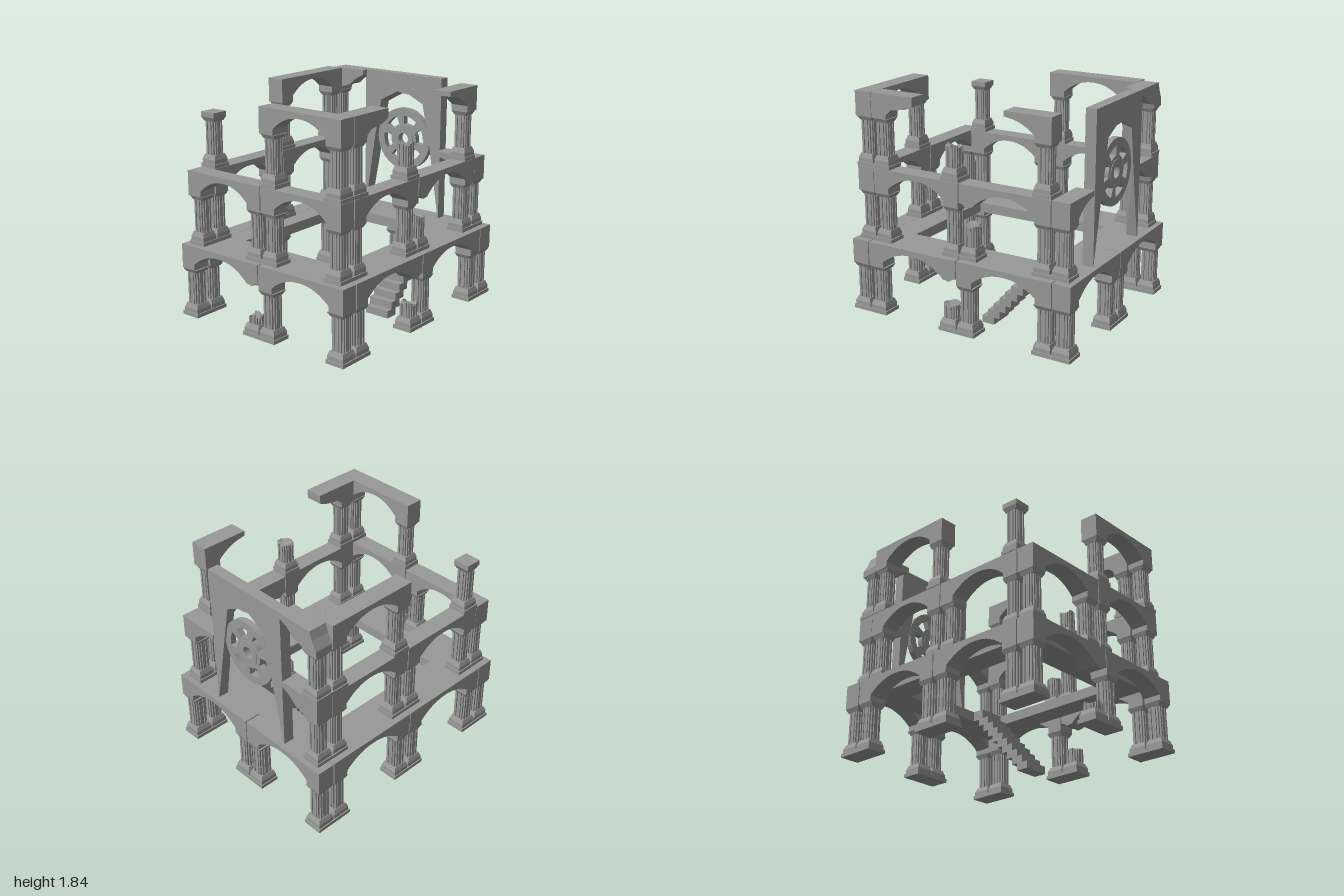
import * as THREE from 'three';

const stone = new THREE.MeshStandardMaterial({ color: 0x999999, flatShading: true });
const POST = 0.135, BEAM = 0.2, DEPTH = 0.15, COLUMN = 0.4;

function part(name, geometry, parent, x = 0, y = 0, z = 0) {
  const mesh = new THREE.Mesh(geometry, stone);
  mesh.name = name;
  mesh.position.set(x, y, z);
  parent.add(mesh);
  return mesh;
}

function shapeOf(points) {
  return new THREE.Shape(points.map(([x, y]) => new THREE.Vector2(x, y)));
}

function extrude(shape, depth, curveSegments = 12) {
  return new THREE.ExtrudeGeometry(shape, { depth, bevelEnabled: false, curveSegments });
}

// Square frustum standing on y = 0
function frustum(bottom, top, h) {
  const g = new THREE.CylinderGeometry(top * Math.SQRT1_2, bottom * Math.SQRT1_2, h, 4);
  return g.rotateY(Math.PI / 4).translate(0, h / 2, 0);
}

// Fluted square shaft; a broken one gets a ragged top
function shaft(half, h, broken) {
  const side = [[-0.75, -1], [-0.45, -1], [-0.45, -0.8], [-0.3, -0.8], [-0.3, -1], [0.3, -1],
    [0.3, -0.8], [0.45, -0.8], [0.45, -1], [0.75, -1], [0.75, -0.75]];
  const points = [];
  for (let k = 0; k < 4; k++) {
    const c = Math.round(Math.cos(k * Math.PI / 2)), s = Math.round(Math.sin(k * Math.PI / 2));
    for (const [x, y] of side) points.push([(x * c - y * s) * half, (x * s + y * c) * half]);
  }
  const g = extrude(shapeOf(points), h).rotateX(-Math.PI / 2);
  if (broken) {
    const p = g.attributes.position;
    for (let i = 0; i < p.count; i++) {
      if (p.getY(i) > h / 2) p.setY(i, p.getY(i) + 0.018 * Math.sin(p.getX(i) * 45 + p.getZ(i) * 30));
    }
    g.computeVertexNormals();
  }
  return g;
}

// Column with stepped base; stump = height of a broken shaft
function column(parent, x, y, z, { wide = 1, stump = 0, abacus = false } = {}) {
  const g = new THREE.Group();
  g.name = stump ? 'brokenColumn' : 'column';
  g.position.set(x, y, z);
  parent.add(g);
  part('basePlate', frustum(0.155 * wide, 0.155 * wide, 0.03), g);
  part('baseBlock', frustum(0.138 * wide, 0.138 * wide, 0.033), g, 0, 0.03);
  part('baseTaper', frustum(0.138 * wide, 0.112 * wide, 0.037), g, 0, 0.063);
  part('shaft', shaft(0.052 * wide, stump || 0.27, stump > 0), g, 0, 0.1);
  if (!stump) part('capital', frustum(0.105 * wide, 0.138 * wide, 0.033), g, 0, 0.367);
  if (abacus) part('abacus', frustum(0.138, 0.138, 0.04), g, 0, 0.4);
}

// Arched bay from its outer end u0 to u1 along x, or along z when alongZ.
// keep = length left of a broken beam, ragged = its rough underside,
// chip = broken outer corner, stump = broken inner column
function bay(parent, y, alongZ, u0, u1, cross, o = {}) {
  const L = Math.abs(u1 - u0), dir = Math.sign(u1 - u0), keep = o.keep || L;
  const g = new THREE.Group();
  g.name = o.keep ? 'brokenBay' : 'archBay';
  if (alongZ) { g.rotation.y = -Math.PI / 2; g.position.set(cross, y, 0); } else g.position.set(0, y, cross);
  parent.add(g);

  const inner = L - POST, pts = [[0, 0], [POST, 0]];
  if (o.ragged) pts.push(...o.ragged);
  else {
    for (let i = 0; i <= 14; i++) {
      const t = i / 7 - 1, s = L / 2 + t * (L / 2 - POST);
      if (s < keep) pts.push([s, 0.05 + 0.105 * (1 - Math.abs(t) ** 2.2)]);
    }
  }
  if (o.keep) pts.push([keep, 0.16]);
  else if (o.stump) pts.push([inner + 0.02, 0.03], [L - 0.06, 0.02], [L - 0.03, 0.045], [L, 0.05]);
  else pts.push([inner, 0], [L, 0]);
  pts.push([keep, BEAM]);
  if (o.chip) pts.push([0.065, BEAM], [0.04, 0.13], [0, 0.06]);
  else pts.push([0, BEAM]);
  const beam = extrude(shapeOf(pts.map(([s, h]) => [u0 + dir * s, h])), DEPTH);
  part('archBeam', beam.translate(0, 0, -DEPTH / 2), g, 0, COLUMN);

  const wide = o.wide || 1;
  column(g, u0 + dir * 0.075, 0, 0, { wide });
  if (!o.keep) column(g, u1 - dir * 0.075, 0, 0, { wide, stump: o.stump });
}

export function createModel() {
  const model = new THREE.Group();
  model.name = 'ruinedArcade';
  const storey = name => {
    const g = new THREE.Group();
    g.name = name;
    model.add(g);
    return g;
  };

  // Ground storey: two bays on every side
  const ground = storey('groundStorey'), wide = 1.07;
  for (const s of [1, -1]) {
    for (const t of [1, -1]) {
      bay(ground, 0.03, false, t * 0.823, t * 0.004, s * 0.913, { wide, stump: s > 0 && t < 0 ? 0.06 : 0 });
      bay(ground, 0.03, true, t * 0.83, t * 0.004, s * 0.748, { wide, stump: s > 0 && t > 0 ? 0.11 : 0 });
    }
  }

  // Floor with a central opening and a stair landing
  const floor = shapeOf([[-0.69, -0.85], [0.69, -0.85], [0.69, 0.85], [-0.69, 0.85]]);
  floor.holes.push(shapeOf([[-0.48, -0.61], [0.255, -0.61], [0.255, -0.51], [0.48, -0.51], [0.48, 0.61], [-0.48, 0.61]]));
  part('floorSlab', extrude(floor, 0.084).rotateX(Math.PI / 2), ground, 0, 0.629, 0);

  // Stairs
  for (let i = 0; i < 9; i++) {
    part('stairStep', new THREE.BoxGeometry(0.22, 0.062, 0.108), ground, 0.367, 0.031 + 0.061 * i, -0.072 - 0.0535 * i);
  }

  // Middle storey: back bays are broken off beside the panel
  const middle = storey('middleStorey'), y2 = 0.633;
  const rough = [[0.145, 0.035], [0.23, 0.06], [0.3, 0.12], [0.35, 0.145]];
  for (const t of [1, -1]) {
    bay(middle, y2, false, t * 0.768, t * 0.004, 0.87);
    bay(middle, y2, false, t * 0.768, t * 0.004, -0.87, { keep: 0.375, ragged: t < 0 ? rough : null });
    bay(middle, y2, true, t * 0.79, t * 0.004, -0.695);
    bay(middle, y2, true, t * 0.79, t * 0.004, 0.695, { stump: t < 0 ? 0.17 : 0 });
  }

  // Upper storey: scattered remains
  const upper = storey('upperStorey'), y3 = 1.236;
  bay(upper, y3, false, 0.768, 0.004, 0.87);
  bay(upper, y3, true, -0.79, -0.004, -0.695);
  bay(upper, y3, false, -0.768, -0.004, -0.87, { keep: 0.378, ragged: rough, chip: true });
  bay(upper, y3, true, 0.79, 0.004, 0.695,
    { keep: 0.385, ragged: [[0.14, 0.04], [0.19, 0.08], [0.32, 0.1], [0.383, 0.125]] });
  bay(upper, y3, true, -0.79, -0.004, 0.695, { keep: 0.39 });
  column(upper, -0.695, y3, 0.715, { abacus: true });
  column(upper, 0.695, y3, 0.08, { stump: 0.165 });

  // Back panel: the tapering pointed opening narrows toward the rear
  const panel = shapeOf([[-0.4, 0.63], [-0.39, 0.63], [-0.3, 1.24], [-0.235, 1.59], [-0.06, 1.68], [0, 1.67],
    [0.06, 1.665], [0.2, 1.6], [0.28, 1.24], [0.38, 0.63], [0.385, 0.63], [0.385, 1.836], [-0.4, 1.836]]);
  const panelGeometry = extrude(panel, 0.09);
  const corners = panelGeometry.attributes.position;
  for (let i = 0; i < corners.count; i++) {
    const x = corners.getX(i), y = corners.getY(i);
    if (corners.getZ(i) < 0.01 && y > 0.7 && y < 1.7) corners.setXY(i, x * 0.93, y - 0.02);
  }
  panelGeometry.computeVertexNormals();
  part('backPanel', panelGeometry, model, 0, 0, -0.945);

  // Round window wheel: slotted disc with a raised hub
  const wheel = new THREE.Group();
  wheel.name = 'wheelWindow';
  wheel.position.set(-0.005, 1.27, -0.9);
  model.add(wheel);
  const ring = (r, hole) => {
    const s = new THREE.Shape().absarc(0, 0, r, 0, Math.PI * 2);
    s.holes.push(new THREE.Path().absarc(0, 0, hole, 0, Math.PI * 2, true));
    return s;
  };
  const disc = ring(0.268, 0.05);
  for (let k = 0; k < 6; k++) {
    const a = (10 + 60 * k) * Math.PI / 180, w = 0.33;
    const slot = new THREE.Path();
    slot.absarc(0, 0, 0.203, a - w, a + w, false);
    slot.absarc(0, 0, 0.13, a + w, a - w, true);
    disc.holes.push(slot);
  }
  part('wheelDisc', extrude(disc, 0.05, 16), wheel, 0, 0, -0.025);
  part('wheelHub', extrude(ring(0.1, 0.05), 0.06, 16), wheel, 0, 0, -0.03);

  return model;
}
